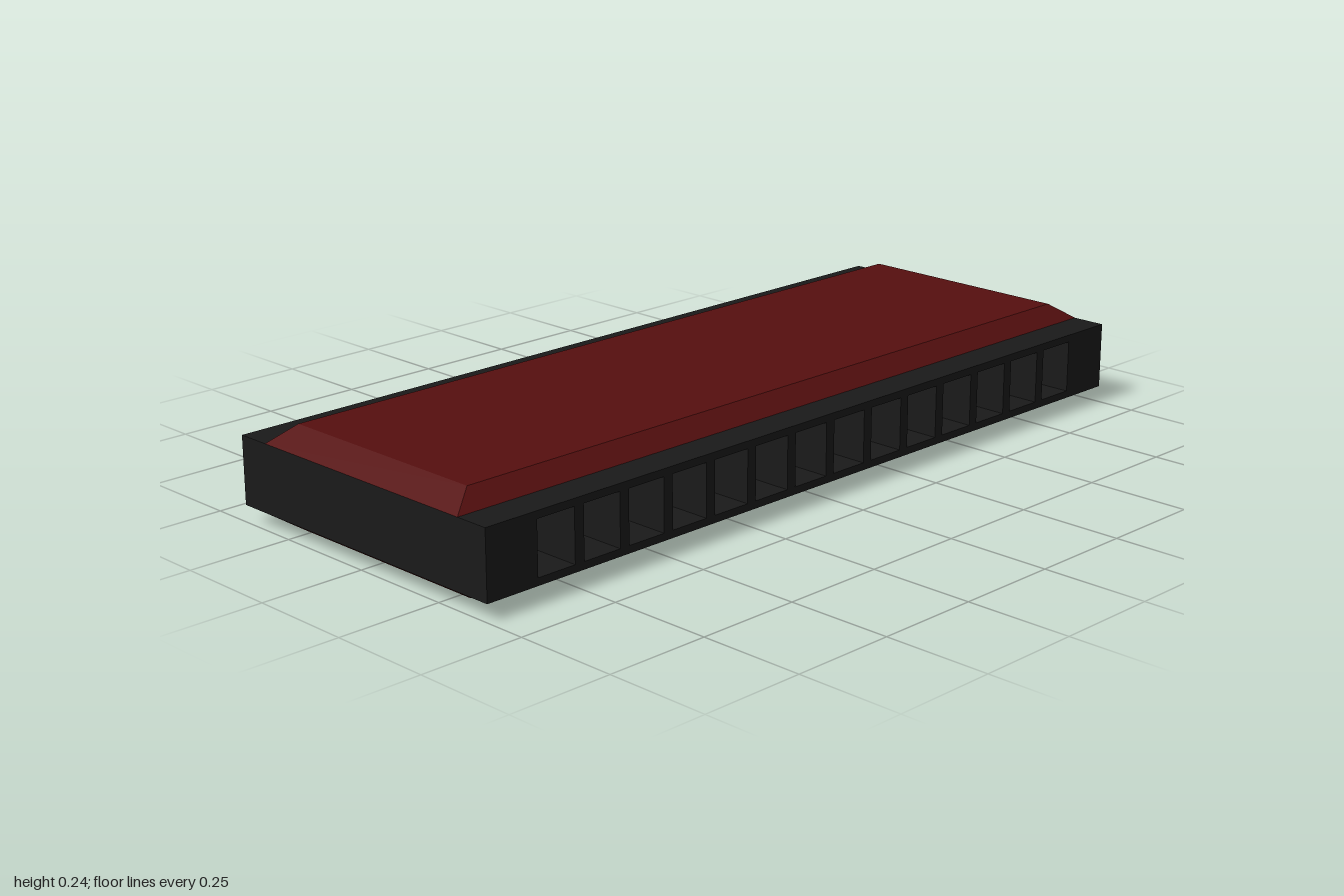
import * as THREE from 'three';

const BODY_LOW = 0.04, BODY_HIGH = 0.2, HALF_DEPTH = 0.4;
const HOLES = 14, PITCH = 0.1255, HOLE_W = 0.1, HOLE_H = 0.125, HOLE_DEPTH = 0.25;

const black = new THREE.MeshStandardMaterial({ color: 0x1a1a1a });
const red = new THREE.MeshStandardMaterial({ color: 0x560f0f });

function rectangle(path, cx, cy, w, h) {
  path.moveTo(cx - w / 2, cy - h / 2);
  path.lineTo(cx + w / 2, cy - h / 2);
  path.lineTo(cx + w / 2, cy + h / 2);
  path.lineTo(cx - w / 2, cy + h / 2);
  path.closePath();
  return path;
}

// Row of square blow holes cut into a long bar
function combGeometry() {
  const midY = (BODY_LOW + BODY_HIGH) / 2;
  const outline = rectangle(new THREE.Shape(), 0, midY, 2, BODY_HIGH - BODY_LOW);
  for (let i = 0; i < HOLES; i++) {
    const x = (i - (HOLES - 1) / 2) * PITCH;
    outline.holes.push(rectangle(new THREE.Path(), x, midY, HOLE_W, HOLE_H));
  }
  const geometry = new THREE.ExtrudeGeometry(outline, { depth: HOLE_DEPTH, bevelEnabled: false });
  return geometry.translate(0, 0, HALF_DEPTH - HOLE_DEPTH);
}

// Shallow plate whose four sides slope in towards the top
function coverGeometry() {
  const geometry = new THREE.BoxGeometry(2, 0.04, 0.634);
  const p = geometry.attributes.position;
  for (let i = 0; i < p.count; i++) {
    if (p.getY(i) > 0) {
      p.setX(i, Math.sign(p.getX(i)) * 0.94);
      p.setZ(i, Math.sign(p.getZ(i)) * 0.277);
    }
  }
  geometry.computeVertexNormals();
  return geometry;
}

export function createModel() {
  const model = new THREE.Group();
  model.name = 'harmonica';
  const add = (name, geometry, material) => {
    const mesh = new THREE.Mesh(geometry, material);
    mesh.name = name;
    model.add(mesh);
    return mesh;
  };

  // Comb: a solid core with a row of holes on both long sides
  const coreDepth = 2 * (HALF_DEPTH - HOLE_DEPTH);
  const core = add('combCore', new THREE.BoxGeometry(2, BODY_HIGH - BODY_LOW, coreDepth), black);
  core.position.y = (BODY_LOW + BODY_HIGH) / 2;
  const comb = combGeometry();
  add('frontComb', comb, black);
  add('backComb', comb, black).rotation.y = Math.PI;

  // Bevelled cover plates above and below
  const cover = coverGeometry();
  add('topCover', cover, red).position.y = BODY_HIGH + 0.02;
  const bottom = add('bottomCover', cover, red);
  bottom.position.y = BODY_LOW - 0.02;
  bottom.rotation.x = Math.PI;

  return model;
}
